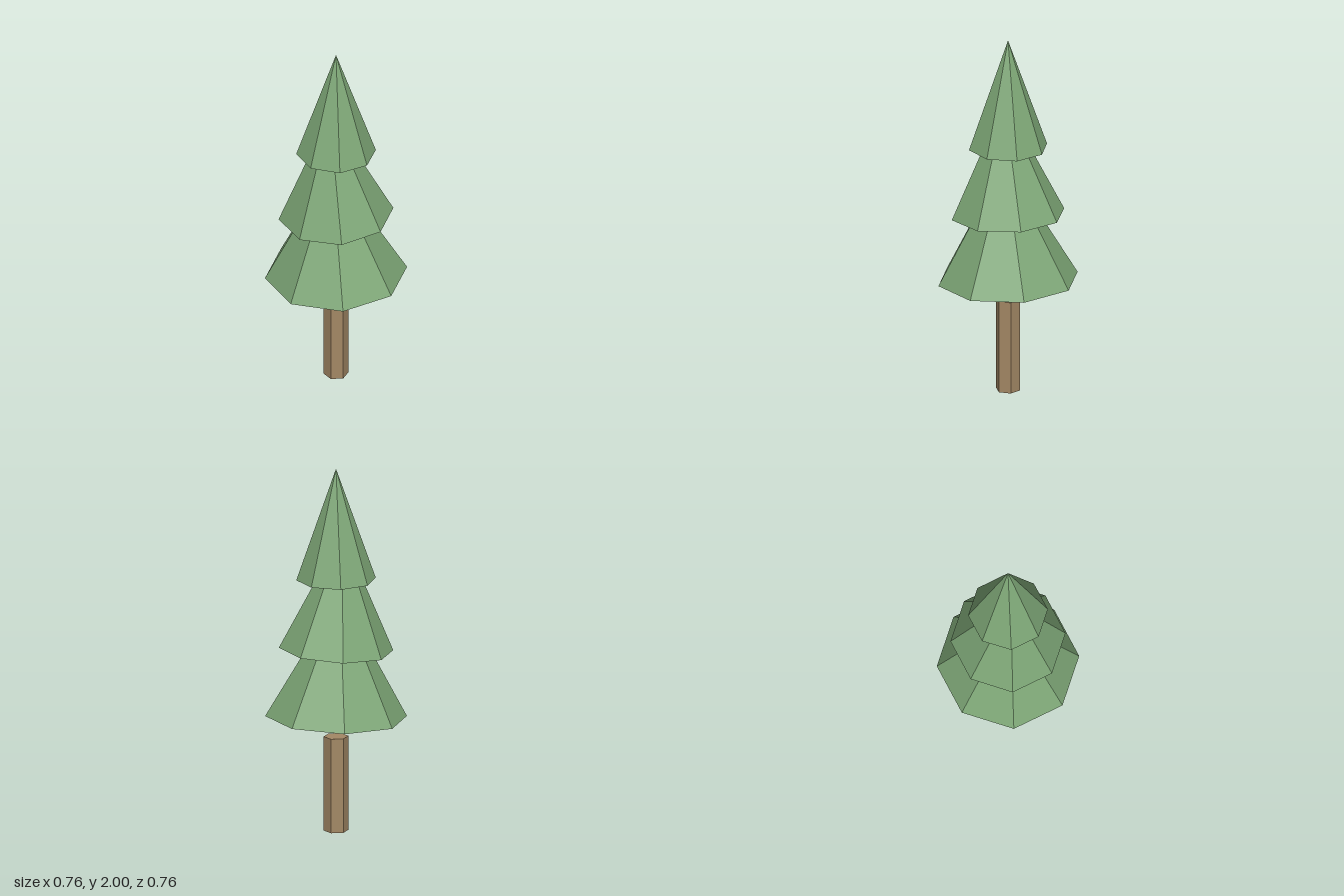
import * as THREE from 'three';

const leaf = new THREE.MeshStandardMaterial({ color: 0x7da676 });
leaf.name = 'leafGreen';
leaf.flatShading = true;
const bark = new THREE.MeshStandardMaterial({ color: 0xa38865 });
bark.name = 'barkBrown';
bark.flatShading = true;

// Foliage tiers: name, radius, height, base y, lean about x, lean about z
const TIERS = [
  ['lowerFoliage', 0.38, 0.67, 0.632, 0.018, 0.033],
  ['middleFoliage', 0.307, 0.64, 1.003, 0.02, 0.055],
  ['upperFoliage', 0.213, 0.61, 1.39, 0, 0],
];

export function createModel() {
  const tree = new THREE.Group();
  tree.name = 'pineTree';

  // Six-sided trunk, corners on the x axis, ending just below the foliage
  const trunk = new THREE.Mesh(
    new THREE.CylinderGeometry(0.066, 0.066, 0.52, 6, 1, false, Math.PI / 6), bark);
  trunk.name = 'trunk';
  trunk.position.y = 0.26;
  tree.add(trunk);

  // Eight-sided cones, each leaning about the middle of its base
  for (const [name, radius, height, y, leanX, leanZ] of TIERS) {
    const cone = new THREE.Mesh(
      new THREE.ConeGeometry(radius, height, 8).translate(0, height / 2, 0), leaf);
    cone.name = name;
    cone.position.y = y;
    cone.rotation.set(leanX, 0, leanZ);
    tree.add(cone);
  }
  return tree;
}
